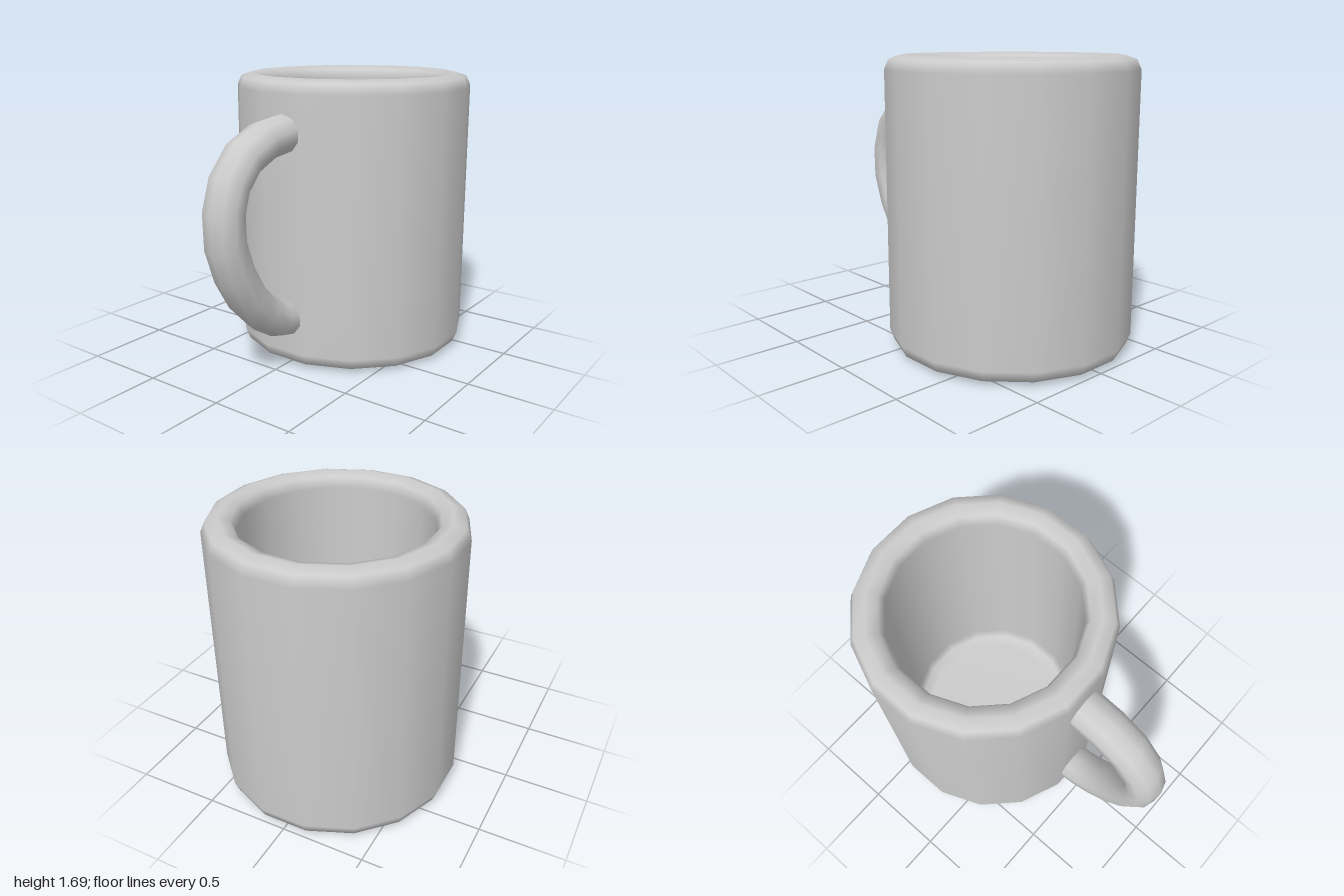
import * as THREE from 'three';

const material = new THREE.MeshStandardMaterial({ color: 0xcccccc });
const SIDES = 16;
const toCorner = 1 / Math.cos(Math.PI / SIDES); // flat-side distance to corner radius

// Closed profile: underside, outer wall, rounded rim, inner wall, floor
function createCup() {
  const profile = [
    [0, 0], [0.58, 0], [0.62, 0.003], [0.68, 0.027], [0.705, 0.09],
    [0.705, 1.61], [0.68, 1.667], [0.615, 1.69], [0.55, 1.667], [0.525, 1.61],
    [0.525, 0.24], [0.5, 0.18], [0.44, 0.155], [0, 0.155],
  ].map(([r, y]) => new THREE.Vector2(r * toCorner, y));
  const cup = new THREE.Mesh(
    new THREE.LatheGeometry(profile, SIDES, Math.PI / SIDES), material);
  cup.name = 'cup';
  cup.position.z = -0.295;
  return cup;
}

// Ten-sided tube swept along a D-shaped path, its ends sunk into the cup wall
function createHandle() {
  const path = [
    [1.4, 0.3], [1.385, 0.43], [1.368, 0.572], [1.3, 0.73], [1.178, 0.842],
    [1.03, 0.89], [0.853, 0.885], [0.68, 0.825], [0.522, 0.73],
    [0.4, 0.61], [0.325, 0.49], [0.28, 0.3],
  ].map(([y, z]) => new THREE.Vector3(0, y, z));
  const curve = new THREE.CatmullRomCurve3(path);
  // One ring per path point
  curve.getUtoTmapping = (u) => u;
  // Quarter turn of the rings, so that a ridge runs along the outside
  const frames = curve.computeFrenetFrames(path.length - 1, false);
  curve.computeFrenetFrames = () => ({
    tangents: frames.tangents,
    normals: frames.binormals,
    binormals: frames.normals.map((n) => n.clone().negate()),
  });
  const handle = new THREE.Mesh(
    new THREE.TubeGeometry(curve, path.length - 1, 0.11, 10, false), material);
  handle.name = 'handle';
  handle.scale.x = 1.1;
  return handle;
}

export function createModel() {
  const mug = new THREE.Group();
  mug.name = 'mug';
  mug.add(createCup(), createHandle());
  return mug;
}
